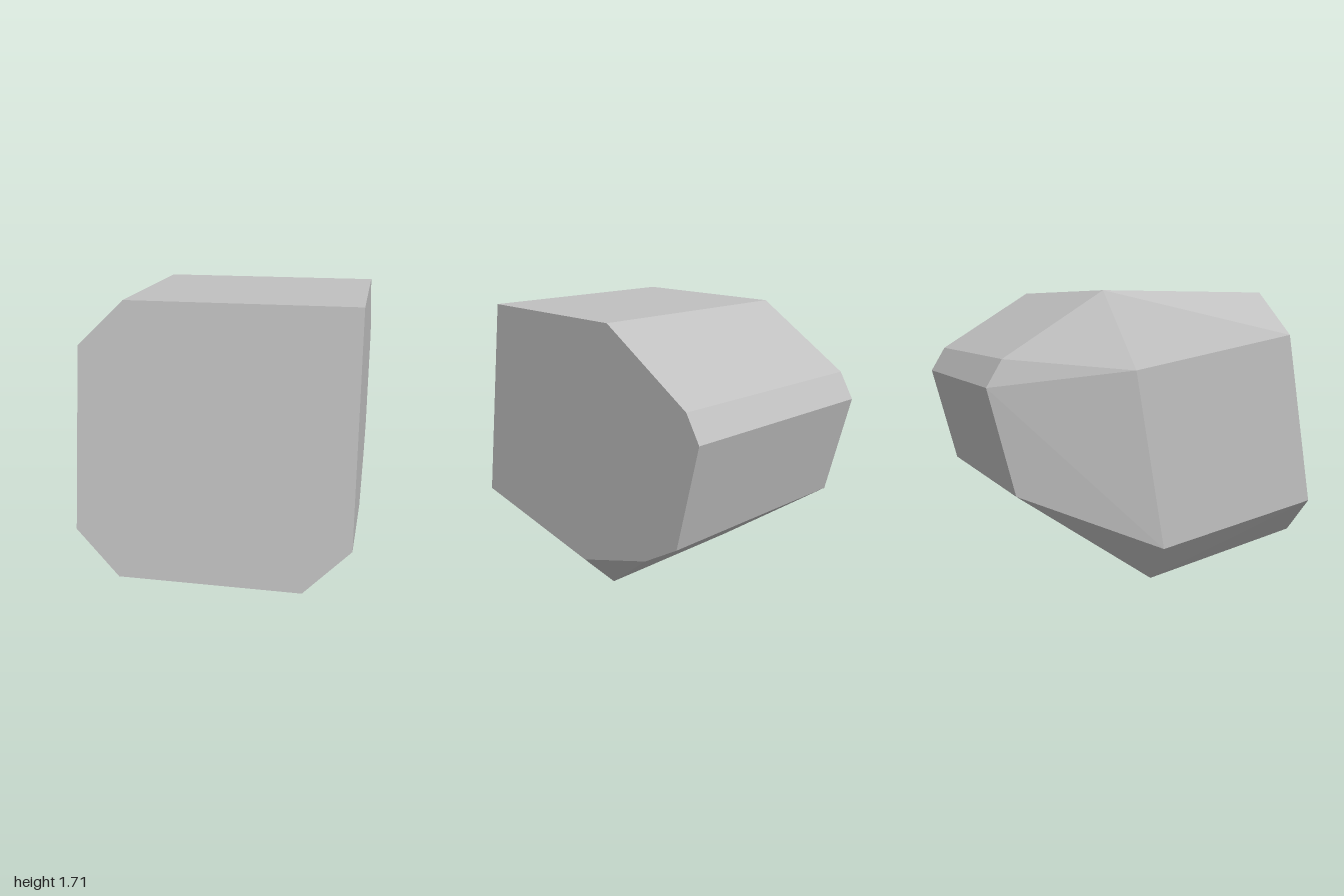
import * as THREE from 'three';
import { ConvexGeometry } from 'three/addons/geometries/ConvexGeometry.js';

// Points of one cross-section: [y, z] pairs at a fixed x
const section = (x, pairs) => pairs.map(([y, z]) => new THREE.Vector3(x, y, z));

export function createModel() {
  const group = new THREE.Group();
  group.name = 'facetedBlock';
  const grey = new THREE.MeshStandardMaterial({ color: 0xc0c0c0 });
  grey.name = 'stoneGrey';

  const points = [
    // flat right-hand wall
    ...section(0.775, [
      [1.705, 0.73], [1.71, -0.32], [1.345, -0.91], [1.195, -1],
      [0.59, -0.845], [0.44, -0.6], [0.26, -0.06], [0.435, 0.956],
    ]),
    // right edge of the base
    ...section(0.515, [[0.183, 1], [0, -0.01]]),
    // ridge where the opposite side starts to bevel
    ...section(-0.52, [
      [1.705, 0.73], [1.71, -0.32], [1.345, -0.91], [1.195, -1],
      [0.59, -0.845], [0, -0.01], [0.183, 1],
    ]),
    // smaller outer wall on the bevelled side
    ...section(-0.775, [[1.455, 0.774], [1.28, -0.24], [0.26, -0.06], [0.435, 0.956]]),
  ];

  const block = new THREE.Mesh(new ConvexGeometry(points), grey);
  block.name = 'block';
  group.add(block);
  return group;
}
